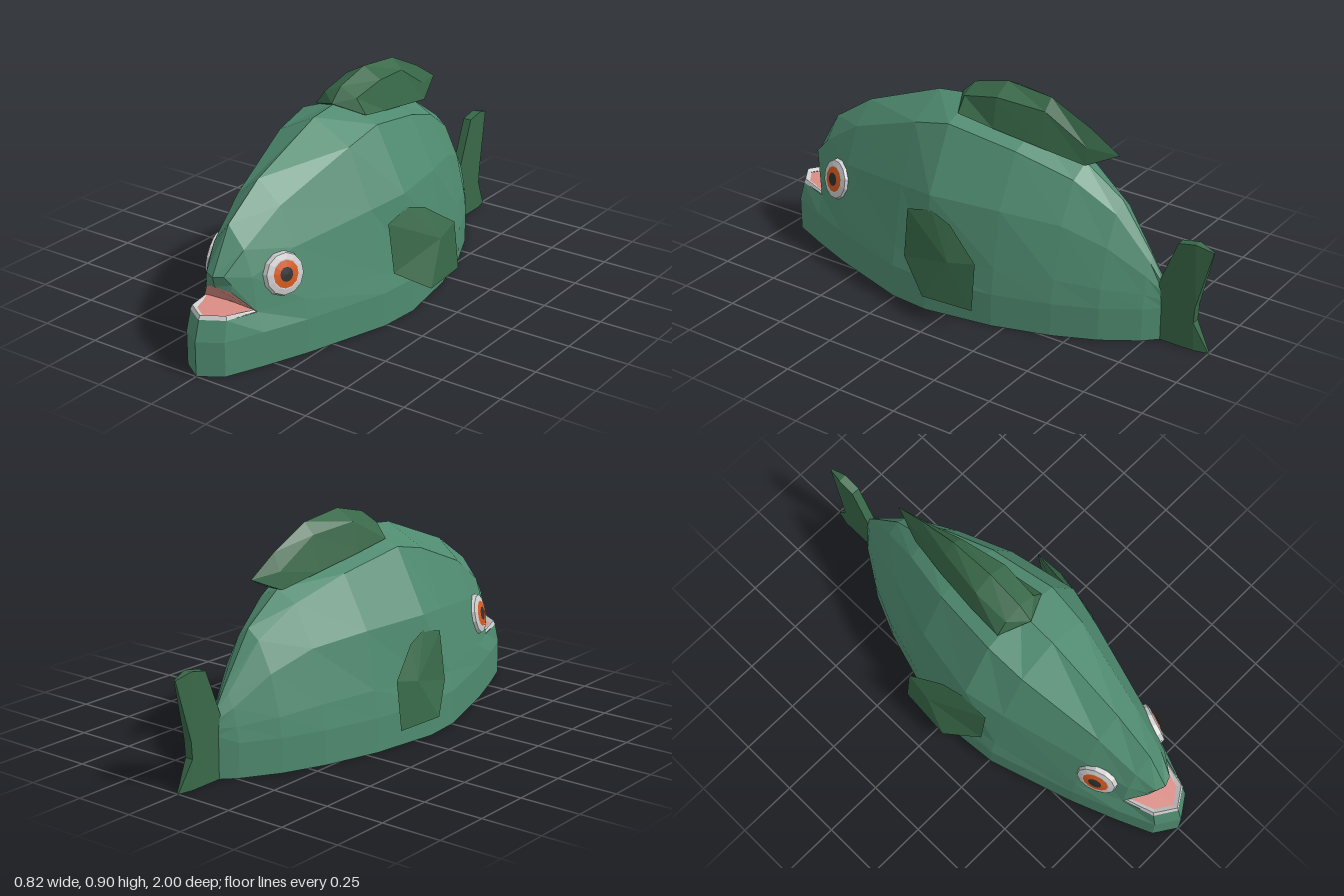
import * as THREE from 'three';

const material = (color) => new THREE.MeshStandardMaterial({
  color, flatShading: true, side: THREE.DoubleSide, roughness: 0.8,
});
const skin = material(0x4f8b70);
const finGreen = material(0x386848);
const white = material(0xcccccc);
const orange = material(0xd65a1e);
const black = material(0x303030);
const pink = material(0xd98c84);

// Flat-shaded mesh from polygons on the +x side, optionally mirrored to -x
function polyMesh(name, faces, mat, mirror = true) {
  const out = [];
  const fan = (f) => {
    for (let i = 1; i < f.length - 1; i++) out.push(...f[0], ...f[i], ...f[i + 1]);
  };
  for (const f of faces) {
    fan(f);
    if (mirror) fan(f.map(([x, y, z]) => [-x, y, z]).reverse());
  }
  const g = new THREE.BufferGeometry();
  g.setAttribute('position', new THREE.Float32BufferAttribute(out, 3));
  g.computeVertexNormals();
  const m = new THREE.Mesh(g, mat);
  m.name = name;
  return m;
}

// Quads between half-sections ordered bottom to top, sections running toward +z
function loft(sections) {
  const faces = [];
  for (let i = 0; i < sections.length - 1; i++) {
    const a = sections[i], b = sections[i + 1];
    for (let j = 0; j < a.length - 1; j++) faces.push([a[j], a[j + 1], b[j + 1], b[j]]);
  }
  return faces;
}

function createBody() {
  // z, base half width, flank (x, y), side (x, y), ridge (x, y), top y
  const stations = [
    [-0.8, 0.012, 0.012, 0.17, 0.012, 0.2, 0.01, 0.23, 0.25],
    [-0.74, 0.07, 0.06, 0.2, 0.045, 0.27, 0.02, 0.32, 0.34],
    [-0.6, 0.16, 0.15, 0.22, 0.11, 0.38, 0.05, 0.5, 0.54],
    [-0.43, 0.235, 0.22, 0.24, 0.17, 0.45, 0.085, 0.61, 0.655],
    [-0.2, 0.305, 0.29, 0.25, 0.25, 0.48, 0.14, 0.69, 0.74],
    [0.09, 0.35, 0.333, 0.22, 0.305, 0.49, 0.175, 0.745, 0.81],
    [0.26, 0.335, 0.315, 0.22, 0.265, 0.47, 0.165, 0.705, 0.79],
    [0.61, 0.225, 0.21, 0.22, 0.165, 0.42, 0.1, 0.57, 0.655],
    [0.79, 0.155, 0.125, 0.215, 0.105, 0.35, 0.07, 0.45, 0.535],
  ];
  const sections = stations.map(([z, w, x2, y2, x3, y3, x4, y4, top]) => [
    [0, 0, z], [w, 0, z], [w, 0.14, z], [x2, y2, z], [x3, y3, z], [x4, y4, z], [0, top, z],
  ]);
  const end = sections[sections.length - 1];

  // Snout closing above the open mouth
  const snout = [[0.058, 0.3, 0.855], [0.06, 0.33, 0.855], [0.04, 0.365, 0.875], [0, 0.36, 0.89]];
  const lip = [0, 0.318, 0.88];
  const faces = [...loft(sections), ...loft([end.slice(3), snout]), [lip, ...snout]];

  // Lower jaw
  const jawSide = [[0, 0, 0.94], [0.09, 0, 0.94], [0.09, 0.14, 0.94], [0.085, 0.22, 0.92]];
  const jawTip = [[0, 0, 1], [0, 0, 1], [0, 0.14, 1], [0, 0.222, 0.975]];
  faces.push(...loft([end.slice(0, 4), jawSide, jawTip]));
  // Tail end cap
  faces.push([...sections[0]].reverse());

  const group = new THREE.Group();
  group.name = 'fishBody';
  group.add(polyMesh('body', faces, skin));

  // Mouth roof and floor
  group.add(polyMesh('mouth', [
    [end[3], snout[0], lip, [0, 0.225, 0.79]],
    [[0.11, 0.224, 0.79], [0, 0.224, 0.79], [0, 0.224, 0.95], [0.068, 0.224, 0.905]],
  ], pink));

  // Raised pale rim around the lower jaw
  const rim = [[0.122, 0.215, 0.79], [0.086, 0.22, 0.92], [0, 0.222, 0.976]];
  const rimTop = [[0.116, 0.222, 0.79], [0.08, 0.237, 0.915], [0, 0.237, 0.968]];
  const rimIn = [[0.106, 0.222, 0.79], [0.066, 0.226, 0.903], [0, 0.226, 0.948]];
  group.add(polyMesh('lowerLip', loft(
    rim.map((p, i) => [p, rimTop[i], rimIn[i]])), white));
  return group;
}

function createDorsalFin() {
  // z, base (x, y), side (x, y), top y
  const sections = [
    [-0.58, 0, 0.72, 0, 0.72, 0.72],
    [-0.45, 0.04, 0.66, 0.03, 0.73, 0.8],
    [-0.27, 0.075, 0.7, 0.045, 0.84, 0.885],
    [-0.07, 0.105, 0.74, 0.08, 0.862, 0.905],
    [0.085, 0.12, 0.77, 0.075, 0.83, 0.865],
    [0.145, 0, 0.81, 0, 0.81, 0.81],
  ].map(([z, bx, by, sx, sy, top]) => [[0, by, z], [bx, by, z], [sx, sy, z], [0, top, z]]);
  return polyMesh('dorsalFin', loft(sections), finGreen);
}

function createTail() {
  const outline = [[-0.78, 0], [-0.94, 0.0], [-1, 0], [-0.935, 0.12], [-0.94, 0.19], [-1, 0.435],
    [-0.93, 0.455], [-0.855, 0.44], [-0.78, 0.25]].map((p) => new THREE.Vector2(...p));
  const g = new THREE.ExtrudeGeometry(new THREE.Shape(outline),
    { depth: 0.036, bevelEnabled: false });
  g.translate(0, 0, -0.018).rotateY(-Math.PI / 2);
  // Pinch the trailing tips
  const p = g.attributes.position;
  for (let i = 0; i < p.count; i++) if (p.getZ(i) < -0.97) p.setX(i, p.getX(i) * 0.2);
  g.computeVertexNormals();
  const tail = new THREE.Mesh(g, finGreen);
  tail.name = 'tailFin';
  return tail;
}

function createSideFins() {
  const rim = [[0.333, 0.2, 0.2], [0.305, 0.4, 0.2], [0.31, 0.43, 0.08], [0.325, 0.4, -0.02],
    [0.372, 0.295, -0.17], [0.395, 0.1, -0.17], [0.412, 0.1, 0.055]];
  const outer = [0.385, 0.27, -0.05], inner = [0.3, 0.28, 0.03];
  const faces = [];
  rim.forEach((a, i) => {
    const b = rim[(i + 1) % rim.length];
    faces.push([outer, a, b], [inner, b, a]);
  });
  return polyMesh('sideFins', faces, finGreen);
}

function createEye(side) {
  const eye = new THREE.Group();
  eye.name = side > 0 ? 'leftEye' : 'rightEye';
  const parts = [
    ['eyeWhite', [[0, -0.045], [0.075, -0.045], [0.086, -0.015], [0.08, 0.004], [0.058, 0.01], [0, 0.006]], white],
    ['iris', [[0.058, 0.009], [0.028, 0.014], [0, 0.014]], orange],
    ['pupil', [[0.028, 0.0145], [0, 0.017]], black],
  ];
  for (const [name, profile, mat] of parts) {
    const m = new THREE.Mesh(new THREE.LatheGeometry(
      profile.map((p) => new THREE.Vector2(...p)), 12), mat);
    m.name = name;
    eye.add(m);
  }
  eye.position.set(side * 0.168, 0.338, 0.676);
  eye.quaternion.setFromUnitVectors(new THREE.Vector3(0, 1, 0),
    new THREE.Vector3(side * 0.92, 0.2, 0.34).normalize());
  return eye;
}

export function createModel() {
  const model = new THREE.Group();
  model.name = 'fish';
  model.add(createBody(), createDorsalFin(), createTail(), createSideFins(),
    createEye(1), createEye(-1));
  return model;
}
